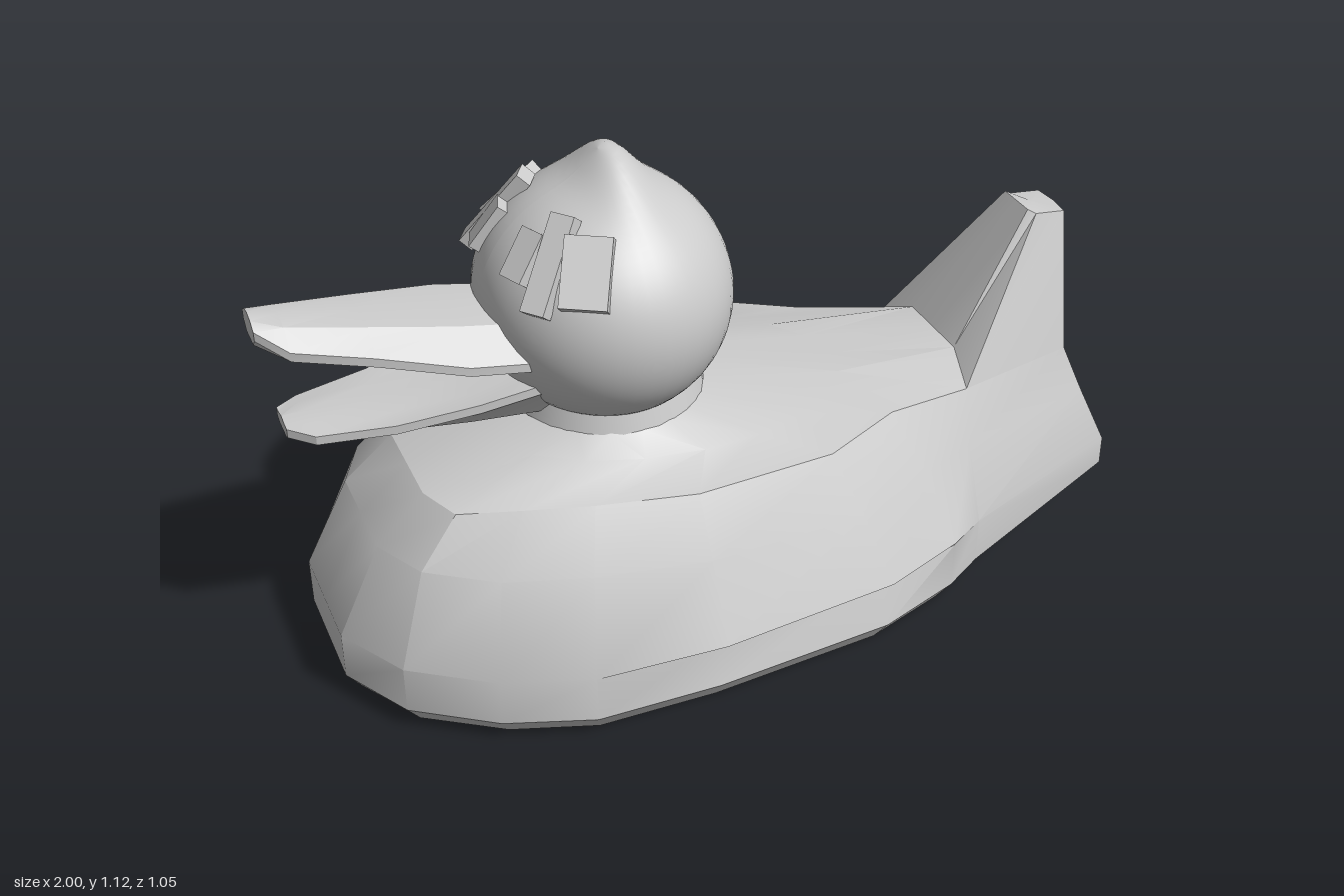
import * as THREE from 'three';
import { toCreasedNormals } from 'three/addons/utils/BufferGeometryUtils.js';

const material = new THREE.MeshStandardMaterial({ color: 0xcccccc, side: THREE.DoubleSide });

// Half ring (z >= 0, from -x to +x, both ends on z = 0) to a full ring
const mirror = (half) => [...half, ...half.slice(1, -1).reverse().map(([x, y, z]) => [x, y, -z])];

// Ring shrunk to its middle, used as a cap
function capOf(ring) {
  const c = [0, 1, 2].map((k) => ring.reduce((s, p) => s + p[k], 0) / ring.length);
  return ring.map(() => c);
}

// Skin over closed rings of equal length, skipping empty triangles
function loft(rings, crease) {
  const pos = [];
  const tri = new THREE.Triangle();
  const add = (a, b, c) => {
    tri.a.set(...a); tri.b.set(...b); tri.c.set(...c);
    if (tri.getArea() > 1e-7) pos.push(...a, ...b, ...c);
  };
  for (let r = 0; r < rings.length - 1; r++) {
    const lo = rings[r], hi = rings[r + 1], n = lo.length;
    for (let i = 0; i < n; i++) {
      const j = (i + 1) % n;
      add(lo[i], lo[j], hi[j]);
      add(lo[i], hi[j], hi[i]);
    }
  }
  const geo = new THREE.BufferGeometry();
  geo.setAttribute('position', new THREE.Float32BufferAttribute(pos, 3));
  return toCreasedNormals(geo, crease);
}

function part(name, geometry, parent) {
  const mesh = new THREE.Mesh(geometry, material);
  mesh.name = name;
  parent.add(mesh);
  return mesh;
}

// Beak half: stations are [x, top y, edge y, underside y, half width]
function beakGeometry(stations) {
  const rings = stations.map(([x, top, edge, under, w]) => {
    const right = [[0, top], [0.55 * w, top - 0.006], [w, edge + 0.02], [w, edge], [0.6 * w, under], [0, under]];
    const left = right.slice(1, -1).reverse().map(([z, y]) => [-z, y]);
    return [...right, ...left].map(([z, y]) => [x, y, z]);
  });
  // rings run clockwise seen from the tip, so start at the head end
  rings.reverse();
  return loft([capOf(rings[0]), ...rings, capOf(rings[rings.length - 1])], 0.45);
}

export function createModel() {
  const duck = new THREE.Group();
  duck.name = 'duck';

  // Hull rings from the open underside up to the shoulder
  const waterline = [[-0.92, 0.05, 0], [-0.92, 0.05, 0.14], [-0.83, 0.05, 0.3], [-0.66, 0.05, 0.42],
    [-0.47, 0.05, 0.49], [-0.19, 0.05, 0.495], [0.23, 0.05, 0.46], [0.43, 0.05, 0.39],
    [0.53, 0.05, 0.33], [0.59, 0.05, 0.18], [0.61, 0.05, 0]];
  const foot = waterline.map(([x, , z]) => [-0.15 + (x + 0.15) * 0.955, 0, z * 0.93]);
  const belt = waterline.map(([x, , z]) => [x, 0.16, z]);
  belt[5] = [-0.19, 0.16, 0.475];
  belt[6] = [0.23, 0.16, 0.42];
  belt[9] = [0.94, 0.13, 0.205];
  belt[10] = [1, 0.13, 0];
  // wing edge overhangs the belt, stern rises
  const wingEdge = belt.map((p) => [...p]);
  wingEdge[5] = [-0.19, 0.18, 0.525];
  wingEdge[6] = [0.23, 0.175, 0.475];
  wingEdge[7] = [0.43, 0.17, 0.395];
  wingEdge[9] = [0.94, 0.2, 0.205];
  wingEdge[10] = [1, 0.2, 0];
  const flank = [[-0.82, 0.36, 0], [-0.82, 0.36, 0.13], [-0.76, 0.36, 0.25], [-0.62, 0.36, 0.35],
    [-0.44, 0.36, 0.41], [-0.19, 0.35, 0.445], [0.18, 0.34, 0.42], [0.39, 0.33, 0.32],
    [0.54, 0.32, 0.25], [0.89, 0.33, 0.165], [0.92, 0.33, 0]];
  const shoulder = [[-0.71, 0.46, 0], [-0.71, 0.46, 0.12], [-0.67, 0.46, 0.22], [-0.54, 0.465, 0.27],
    [-0.4, 0.47, 0.32], [-0.19, 0.478, 0.378], [0.13, 0.475, 0.355], [0.33, 0.465, 0.25],
    [0.55, 0.44, 0.2], [0.84, 0.45, 0.15], [0.85, 0.45, 0]];
  part('body', loft([foot, waterline, belt, wingEdge, flank, shoulder].map(mirror), 0.5), duck);

  // Back, running up from the shoulder to the neck
  const deck = [...shoulder.slice(0, 9), [0.57, 0.49, 0.1], [0.57, 0.49, 0]];
  const arc = (cx, rx, rz, y0, y1) => deck.map((_, i) => {
    const a = (i / 10) * Math.PI;
    return [cx - rx * Math.cos(a), y0 + (y1 - y0) * (i / 10), i % 10 ? rz * Math.sin(a) : 0];
  });
  part('back', loft([deck, arc(-0.13, 0.43, 0.27, 0.525, 0.485), arc(-0.25, 0.215, 0.21, 0.555, 0.55)].map(mirror), 0.5), duck);

  // Upright tail
  const tailBase = [[0.57, 0.49, 0], [0.57, 0.49, 0.1], [0.55, 0.44, 0.2], [0.84, 0.45, 0.15], [0.85, 0.45, 0]];
  const tailTop = [[0.77, 0.782, 0], [0.77, 0.782, 0.05], [0.79, 0.77, 0.056], [0.865, 0.762, 0.056], [0.87, 0.762, 0]];
  const top = mirror(tailTop);
  part('tail', loft([mirror(tailBase), top, capOf(top)], 0.45), duck);

  // Neck
  const neck = part('neck', new THREE.CylinderGeometry(0.19, 0.215, 0.09, 32, 1, true), duck);
  neck.position.set(-0.25, 0.585, 0);

  // Round head with a small crest pulled up on top
  const head = new THREE.Group();
  head.name = 'head';
  head.position.set(-0.252, 0.79, 0);
  duck.add(head);
  const R = [0.277, 0.27, 0.298];
  const skull = new THREE.SphereGeometry(1, 48, 40).scale(...R);
  const p = skull.attributes.position;
  for (let i = 0; i < p.count; i++) {
    const x = p.getX(i), y = p.getY(i), z = p.getZ(i);
    if (y > 0) p.setY(i, y + 0.065 * Math.exp(-(((x - 0.025) / 0.065) ** 2) - (z / 0.13) ** 2));
  }
  skull.computeVertexNormals();
  part('skull', skull, head);

  // Open beak
  part('upperBeak', beakGeometry([
    [-1, 0.905, 0.865, 0.845, 0.05], [-0.94, 0.888, 0.825, 0.815, 0.09], [-0.78, 0.862, 0.795, 0.78, 0.13],
    [-0.6, 0.832, 0.75, 0.745, 0.17], [-0.41, 0.795, 0.715, 0.705, 0.165]]), duck);
  part('lowerBeak', beakGeometry([
    [-0.96, 0.648, 0.622, 0.615, 0.045], [-0.91, 0.65, 0.615, 0.605, 0.085], [-0.75, 0.645, 0.62, 0.597, 0.12],
    [-0.58, 0.655, 0.64, 0.585, 0.145], [-0.41, 0.685, 0.66, 0.572, 0.15]]), duck);

  // Blocky eyes wrapped on the head: [azimuth, elevation, width, height], degrees
  const eye = (name, plates) => {
    const group = new THREE.Group();
    group.name = name;
    head.add(group);
    for (const [az, el, w, h] of plates) {
      const a = THREE.MathUtils.degToRad(az), e = THREE.MathUtils.degToRad(el);
      const dir = new THREE.Vector3(-Math.cos(a) * Math.cos(e), Math.sin(e), Math.sin(a) * Math.cos(e));
      const plate = part('eyePlate', new THREE.BoxGeometry(w, h, 0.035), group);
      plate.position.set(dir.x * R[0], dir.y * R[1], dir.z * R[2]);
      const normal = new THREE.Vector3(dir.x / R[0], dir.y / R[1], dir.z / R[2]).normalize();
      const side = new THREE.Vector3(0, 1, 0).cross(normal).normalize();
      plate.quaternion.setFromRotationMatrix(
        new THREE.Matrix4().makeBasis(side, normal.clone().cross(side), normal));
    }
  };
  eye('leftEye', [[25, 38, 0.06, 0.11], [41, 38, 0.055, 0.21], [61, 37, 0.1, 0.15]]);
  eye('rightEye', [[-20, 35, 0.06, 0.11], [-33, 38, 0.055, 0.21], [-48, 42, 0.07, 0.14]]);

  return duck;
}
